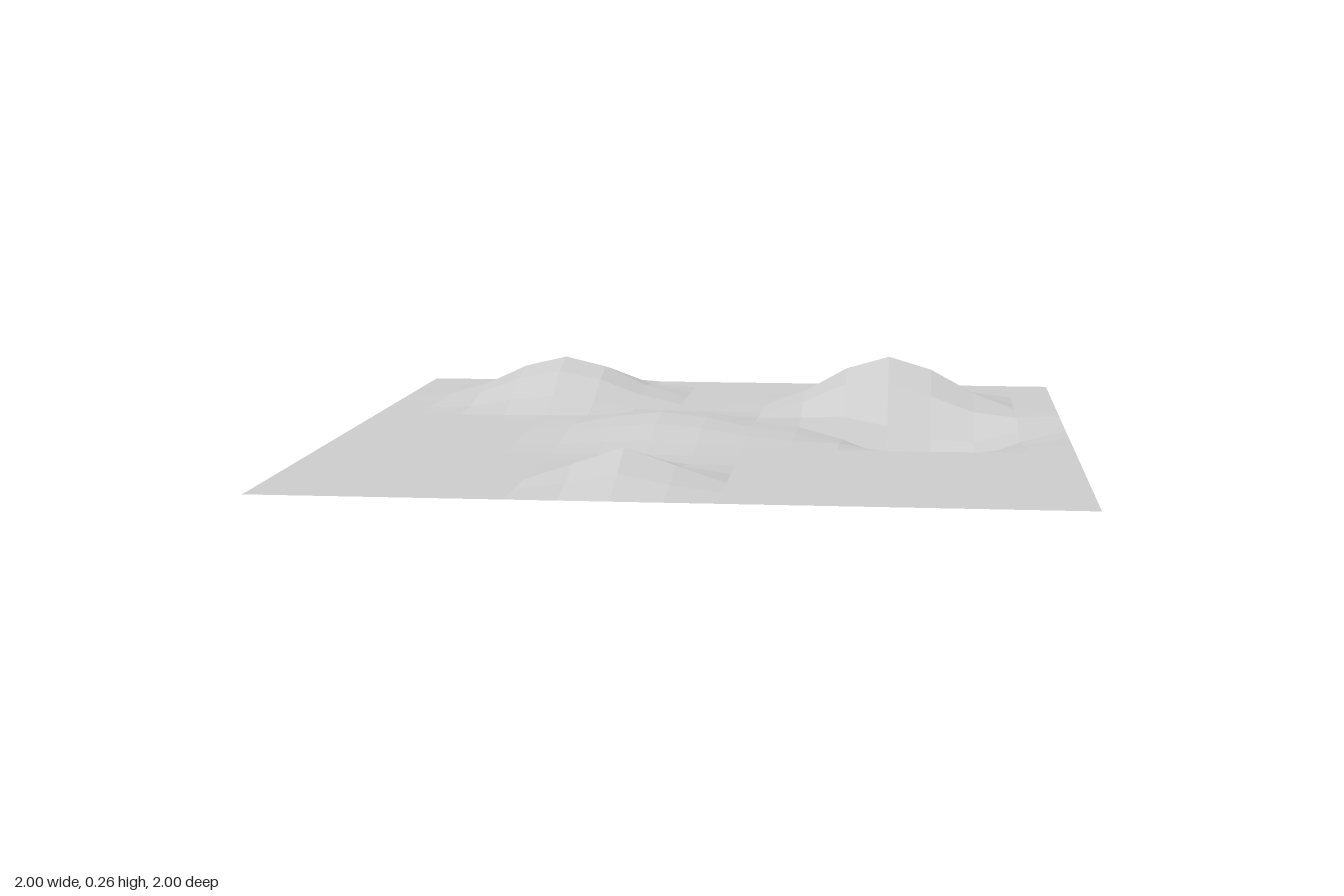
import * as THREE from 'three';

const CELLS = 16;
const BASE = 0.11;

// Each bump: centre x, centre z, height (negative for a hollow), radius
const BUMPS = [
  [-0.5, -0.625, 0.127, 0.4],
  [0.5, -0.5, 0.155, 0.4],
  [0.625, -0.125, -0.11, 0.4],
  [-0.125, 0, 0.055, 0.4],
  [-0.125, 0.75, 0.085, 0.25],
];

// Flat ground plus a smooth falloff around every bump
function heightAt(x, z) {
  let y = BASE;
  for (const [cx, cz, h, r] of BUMPS) {
    const t = Math.max(0, 1 - Math.hypot(x - cx, z - cz) / r);
    y += h * t * t * (3 - 2 * t);
  }
  return Math.max(0, y);
}

// One shared normal per square, so each grid cell reads as a single facet
function facetSquares(geometry) {
  const flat = geometry.toNonIndexed();
  flat.computeVertexNormals();
  const normals = flat.attributes.normal;
  const a = new THREE.Vector3(), b = new THREE.Vector3();
  for (let i = 0; i < normals.count; i += 6) {
    a.fromBufferAttribute(normals, i);
    b.fromBufferAttribute(normals, i + 3);
    a.add(b).normalize();
    for (let k = 0; k < 6; k++) normals.setXYZ(i + k, a.x, a.y, a.z);
  }
  return flat;
}

export function createModel() {
  const group = new THREE.Group();
  group.name = 'terrain';
  const ground = new THREE.MeshStandardMaterial({ color: 0xcccccc, side: THREE.DoubleSide });
  ground.name = 'light grey ground';

  // Square sheet raised into hills and one hollow
  const sheet = new THREE.PlaneGeometry(2, 2, CELLS, CELLS).rotateX(-Math.PI / 2);
  const p = sheet.attributes.position;
  for (let i = 0; i < p.count; i++) p.setY(i, heightAt(p.getX(i), p.getZ(i)));

  const mesh = new THREE.Mesh(facetSquares(sheet), ground);
  mesh.name = 'hillyGround';
  group.add(mesh);
  return group;
}
